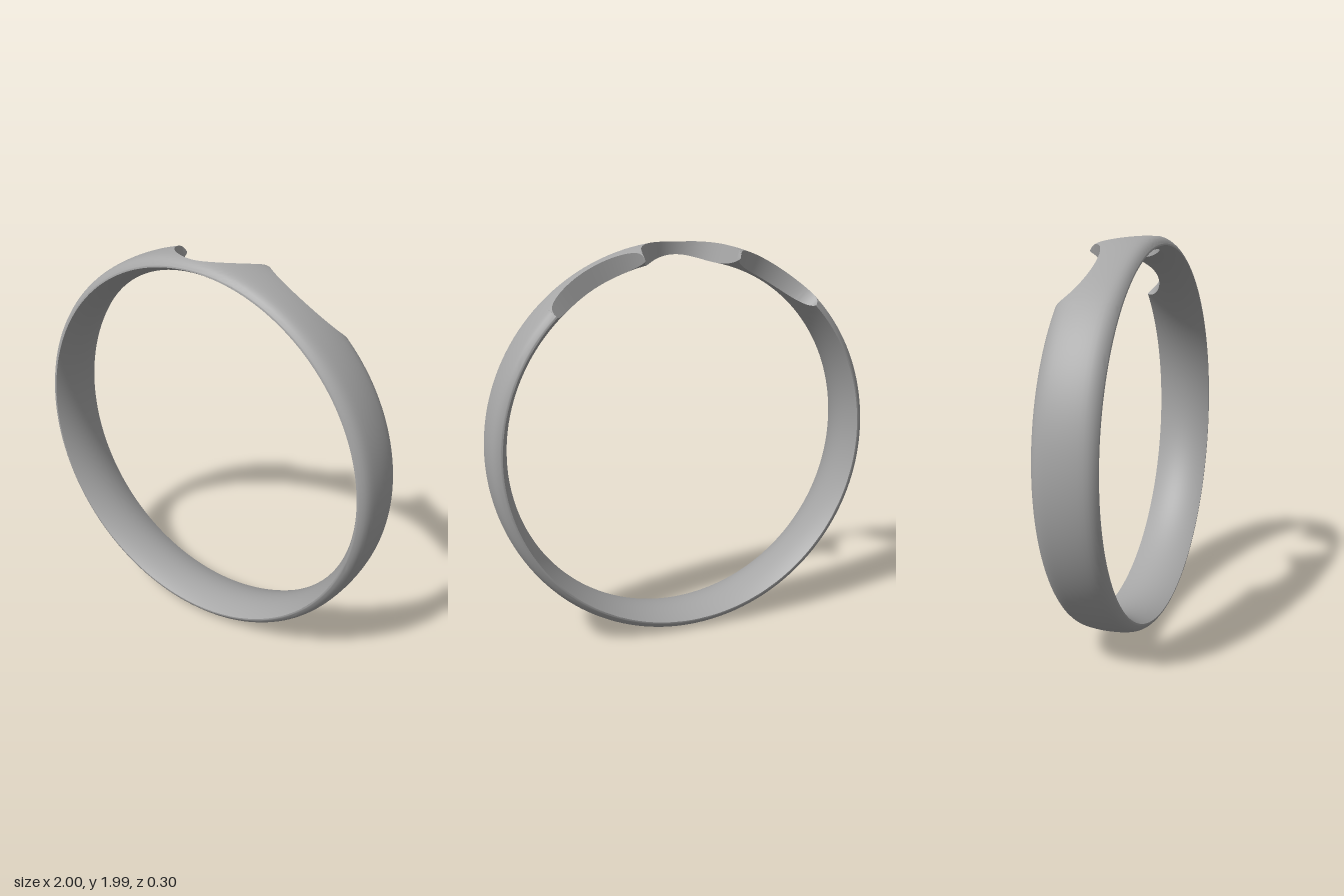
import * as THREE from 'three';
import { toCreasedNormals } from 'three/addons/utils/BufferGeometryUtils.js';

const HALF = 0.15;              // half width of the band
const STEPS = 18;               // samples across each face
const RAD = Math.PI / 180;

// Domed cross-section: radii of the outer and inner faces at z
const outerR = z => 1 - 0.018 * (z / HALF) ** 2 - 0.03 * (z / HALF) ** 8;
const innerR = z => 0.905 + 0.04 * (z / HALF) ** 2;

// Scallops cut into the back edge: centre and half width in degrees, depth along z
const scallops = [
  { at: -29.7, half: 14.9, depth: 0.12, power: 0.6 },
  { at: 0, half: 14.8, depth: 0.26, power: 0.62 },
  { at: 29.7, half: 14.9, depth: 0.12, power: 0.6 },
];

function backEdge(deg) {
  for (const s of scallops) {
    const u = (deg - s.at) / s.half;
    if (Math.abs(u) < 1) return -HALF + s.depth * (1 - u * u) ** s.power;
  }
  return -HALF;
}

// Angles round the band, measured from the top, denser at the scallop corners
function bandAngles() {
  const angles = [];
  for (const s of scallops) {
    for (let i = 0; i < 48; i++) angles.push(s.at - s.half * Math.cos(Math.PI * i / 48));
  }
  const start = 44.6, end = 360 - 44.6;
  for (let i = 0; i < 120; i++) angles.push(start + (end - start) * i / 120);
  return angles;
}

// Cross-section loop: outer face back to front, then inner face front to back
function section(deg) {
  const back = backEdge(deg), loop = [];
  const zAt = i => back + (HALF - back) * (1 - Math.cos(Math.PI * i / STEPS)) / 2;
  for (let i = 0; i <= STEPS; i++) loop.push([outerR(zAt(i)), zAt(i)]);
  for (let i = STEPS; i >= 0; i--) loop.push([innerR(zAt(i)), zAt(i)]);
  return loop;
}

function bandGeometry() {
  const angles = bandAngles(), n = 2 * (STEPS + 1), pos = [], index = [];
  angles.forEach((deg, j) => {
    const sin = Math.sin(deg * RAD), cos = Math.cos(deg * RAD);
    for (const [r, z] of section(deg)) pos.push(r * sin, 1 + r * cos, z);
    const next = (j + 1) % angles.length;
    for (let i = 0; i < n; i++) {
      const k = (i + 1) % n;
      const a = j * n + i, b = j * n + k, c = next * n + i, d = next * n + k;
      index.push(a, b, c, b, d, c);
    }
  });
  const geo = new THREE.BufferGeometry();
  geo.setAttribute('position', new THREE.Float32BufferAttribute(pos, 3));
  geo.setIndex(index);
  return toCreasedNormals(geo, 40 * RAD);
}

export function createModel() {
  const metal = new THREE.MeshStandardMaterial({ color: 0xa6a6a6 });
  metal.name = 'grey metal';
  const band = new THREE.Mesh(bandGeometry(), metal);
  band.name = 'scallopedBand';
  const group = new THREE.Group();
  group.name = 'ring';
  group.add(band);
  return group;
}
